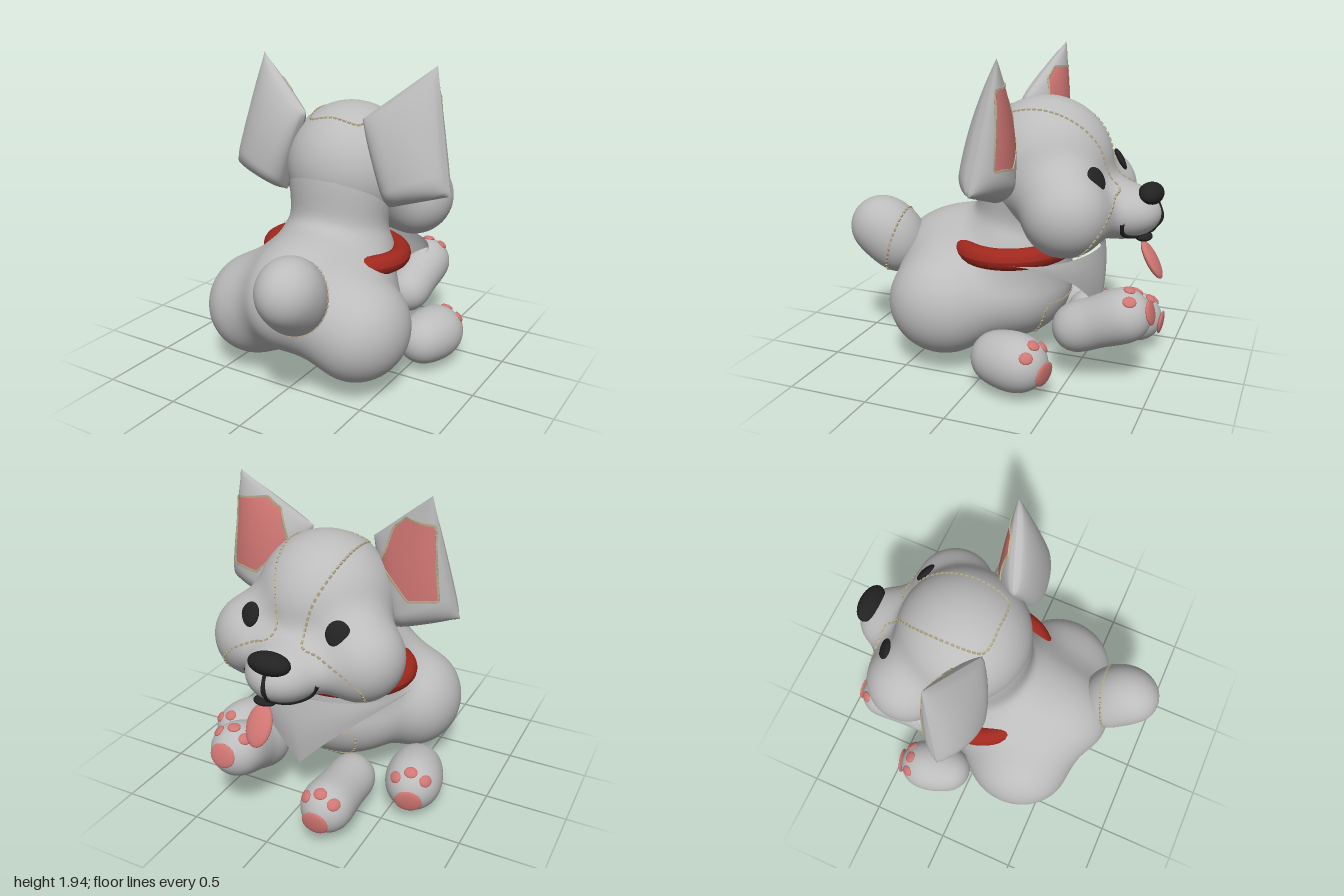
import * as THREE from 'three';
import { mergeVertices, mergeGeometries } from 'three/addons/utils/BufferGeometryUtils.js';

const V = (x, y, z) => new THREE.Vector3(x, y, z);
const material = (name, color) => Object.assign(new THREE.MeshStandardMaterial({ color }), { name });

// Smoothly blended ellipsoids [x, y, z, rx, ry, rz], seen as a radius around one inner centre
function makeBlob(center, lobes, k, detail) {
  const field = (p) => {
    let d = 10;
    for (const [x, y, z, rx, ry, rz] of lobes) {
      const e = (Math.hypot((p.x - x) / rx, (p.y - y) / ry, (p.z - z) / rz) - 1) * Math.min(rx, ry, rz);
      const h = Math.max(k - Math.abs(d - e), 0) / k;
      d = Math.min(d, e) - h * h * k / 4;
    }
    return d;
  };
  const project = (point) => {
    const dir = point.clone().sub(center).normalize();
    let lo = 0, hi = 1.2;
    for (let i = 0; i < 22; i++) {
      const t = (lo + hi) / 2;
      if (field(center.clone().addScaledVector(dir, t)) < 0) lo = t; else hi = t;
    }
    return center.clone().addScaledVector(dir, lo);
  };
  let geometry = new THREE.IcosahedronGeometry(1, detail);
  geometry.deleteAttribute('uv');
  geometry.deleteAttribute('normal');
  geometry = mergeVertices(geometry, 1e-4);
  const pos = geometry.attributes.position, v = V(0, 0, 0);
  for (let i = 0; i < pos.count; i++) {
    const q = project(v.fromBufferAttribute(pos, i).add(center));
    pos.setXYZ(i, q.x, q.y, q.z);
  }
  geometry.computeVertexNormals();
  return { geometry, project };
}

// Grid whose points follow rule(u, v); flip turns the faces round
function makeSheet(rule, nu, nv, flip) {
  const geo = new THREE.PlaneGeometry(1, 1, nu, nv);
  const pos = geo.attributes.position, uv = geo.attributes.uv;
  for (let i = 0; i < pos.count; i++) {
    const p = rule(uv.getX(i), 1 - uv.getY(i));
    pos.setXYZ(i, p.x, p.y, p.z);
  }
  if (flip) geo.index.array.reverse();
  geo.computeVertexNormals();
  return geo;
}

export function createModel() {
  const model = new THREE.Group();
  model.name = 'plushPuppy';
  const fur = material('greyFur', 0xbcbcbc);
  const pink = material('pinkFelt', 0xd07673);
  const red = material('redCollar', 0xa0281e);
  const black = material('blackTrim', 0x222222);
  const thread = material('beigeThread', 0xb4a98a);
  const cloth = material('greyCloth', 0xbcbcbc);
  cloth.side = THREE.DoubleSide;

  const add = (name, geo, mat, parent = model) => {
    const mesh = new THREE.Mesh(geo, mat);
    mesh.name = name;
    parent.add(mesh);
    return mesh;
  };
  const ball = (name, mat, at, radii, facing, parent) => {
    const mesh = add(name, new THREE.SphereGeometry(1, 24, 16), mat, parent);
    mesh.scale.set(...radii);
    mesh.position.copy(at);
    if (facing) mesh.lookAt(at.clone().add(facing));
  };

  // Stitching: short dashes laid on a surface
  const stitch = (name, project, points, closed = false) => {
    const curve = new THREE.CatmullRomCurve3(points, closed, 'catmullrom', 0.3);
    const count = Math.round(curve.getLength() / 0.034);
    const spots = curve.getSpacedPoints(count).map(project);
    const dashes = [], o = new THREE.Object3D();
    for (let i = 0; i < count; i++) {
      o.position.copy(spots[i]).lerp(spots[i + 1], 0.5);
      o.lookAt(spots[i + 1]);
      o.updateMatrix();
      dashes.push(new THREE.BoxGeometry(0.012, 0.012, 0.022).applyMatrix4(o.matrix));
    }
    add(name, mergeGeometries(dashes), thread);
  };

  // Body with haunches, chest, shoulders and a neck that flows into the skull
  const body = makeBlob(V(0, 0.58, 0.04), [
    [0, 0.56, 0.2, 0.39, 0.38, 0.55],
    [0.36, 0.41, 0.29, 0.315, 0.325, 0.345], [-0.36, 0.41, 0.29, 0.315, 0.325, 0.345],
    [0, 0.44, -0.06, 0.42, 0.31, 0.32],
    [0, 0.76, -0.08, 0.36, 0.2, 0.3],
    [0, 1.0, -0.07, 0.29, 0.28, 0.22],
    [0, 1.23, -0.2, 0.36, 0.36, 0.365],
  ], 0.14, 30);
  add('body', body.geometry, fur);

  // Head with skull, cheeks and muzzle
  const head = makeBlob(V(0, 1.14, -0.34), [
    [0, 1.25, -0.24, 0.41, 0.41, 0.41],
    [0.34, 1.04, -0.47, 0.255, 0.255, 0.255], [-0.34, 1.04, -0.47, 0.255, 0.255, 0.255],
    [0, 1.0, -0.7, 0.23, 0.17, 0.26],
  ], 0.14, 28);
  add('head', head.geometry, fur);

  // Tail
  const tail = makeBlob(V(0.19, 0.73, 0.73), [
    [0.21, 0.79, 0.79, 0.185, 0.2, 0.21],
    [0.17, 0.68, 0.69, 0.19, 0.19, 0.17],
  ], 0.1, 12);
  add('tail', tail.geometry, fur);

  // Seams
  const ring = [];
  for (let i = 0; i < 16; i++) {
    const a = i / 16 * Math.PI * 2;
    ring.push(V(0.18 + 0.2 * Math.cos(a), 0.71 + 0.2 * Math.sin(a), 0.69 - 0.06 * Math.sin(a) - 0.03 * Math.cos(a)));
  }
  stitch('tailSeam', tail.project, ring, true);
  stitch('bellySeam', body.project, [V(-0.22, 0.42, -0.33), V(0.22, 0.42, -0.33), V(0.14, 0.2, -0.22), V(-0.14, 0.2, -0.22)], true);
  for (const s of [1, -1]) {
    stitch('headSeam', head.project, [[0, 1.59, -0.01], [0.19, 1.59, -0.01], [0.2, 1.58, -0.35], [0.11, 1.36, -0.6],
      [0.1, 1.17, -0.72], [0.2, 1.13, -0.72], [0.32, 1.06, -0.7], [0.43, 0.95, -0.67], [0.42, 0.82, -0.57]]
      .map(([x, y, z]) => V(s * x, y, z)));
  }

  // Ears: plump pillows over a four-cornered outline, fullest near the head
  const inTop = V(0.2, 1.6, -0.02), tip = V(0.61, 1.93, -0.165), inLow = V(0.38, 1.07, -0.06), outLow = V(0.77, 1.2, -0.06);
  const across = (u) => u < 0.35 ? (1 - ((0.35 - u) / 0.35) ** 2.5) ** 0.4 : Math.sqrt(Math.max(0, 1 - ((u - 0.35) / 0.65) ** 2));
  const along = (v) => v < 0.8 ? Math.sqrt(Math.sin(v / 0.8 * Math.PI / 2)) : Math.sqrt(Math.max(0, 1 - ((v - 0.8) / 0.2) ** 2));
  // Pink panel corners in the ear's own (u, v)
  const panel = [[0.6, 0.03], [0.97, 0.22], [0.85, 0.78], [0.45, 0.7], [0.13, 0.28], [0.4, 0.04]];
  const inPanel = (u, v) => panel.every(([a, b], i) => {
    const [c, d] = panel[(i + 1) % panel.length];
    return (c - a) * (v - b) - (d - b) * (u - a) > 0;
  });
  const hem = panel.flatMap(([a, b], i) => {
    const [c, d] = panel[(i + 1) % panel.length];
    return [0, 1, 2].map((n) => V(a + (c - a) * n / 3, b + (d - b) * n / 3, 0));
  });
  for (const s of [1, -1]) {
    const ear = new THREE.Group();
    ear.name = s > 0 ? 'leftEar' : 'rightEar';
    model.add(ear);
    const rule = (depth) => (u, v) => {
      const p = inTop.clone().lerp(tip, u).lerp(inLow.clone().lerp(outLow, u), v);
      p.z += depth * across(u) * along(v);
      p.x *= s;
      return p;
    };
    add('earBack', makeSheet(rule(0.155), 40, 40, s < 0), fur, ear);
    const frontRule = rule(-0.15);
    const front = makeSheet(frontRule, 64, 64, s > 0);
    const sorted = [[], []], uv = front.attributes.uv, ix = front.index.array;
    for (let i = 0; i < ix.length; i += 3) {
      const t = [ix[i], ix[i + 1], ix[i + 2]];
      const mean = (f) => (f(t[0]) + f(t[1]) + f(t[2])) / 3;
      sorted[inPanel(mean((j) => uv.getX(j)), 1 - mean((j) => uv.getY(j))) ? 1 : 0].push(...t);
    }
    front.setIndex(sorted.flat());
    front.addGroup(0, sorted[0].length, 0);
    front.addGroup(sorted[0].length, sorted[1].length, 1);
    add('earFront', front, [fur, pink], ear);
    stitch('earSeam', (p) => frontRule(p.x, p.y), hem, true);

    // Eyes
    ball('eye', black, head.project(V(s * 0.335, 1.26, -0.69)), [0.07, 0.075, 0.024], V(s * 0.3, 0.45, -0.85));
  }

  // Nose, mouth and tongue
  ball('nose', black, V(0, 1.115, -0.89), [0.13, 0.065, 0.075]);
  const line = (name, points) => add(name, new THREE.TubeGeometry(
    new THREE.CatmullRomCurve3(points.map((p) => head.project(V(...p)))), 32, 0.014, 8), black);
  line('mouthCentre', [[0, 1.08, -0.95], [0, 0.98, -0.96], [0, 0.89, -0.92]]);
  for (const s of [1, -1]) {
    line('mouthSide', [[0, 0.89, -0.92], [s * 0.1, 0.86, -0.88], [s * 0.19, 0.89, -0.8], [s * 0.24, 0.98, -0.79]]);
  }
  ball('mouthOpening', black, V(0.05, 0.865, -0.87), [0.07, 0.025, 0.05]);
  ball('tongue', pink, V(0.06, 0.73, -0.925), [0.08, 0.125, 0.03], V(0, 0.5, -0.87));

  // Collar
  const collar = new THREE.TorusGeometry(1, 0.065, 16, 64);
  const cp = collar.attributes.position;
  for (let i = 0; i < cp.count; i++) {
    const x = cp.getX(i), y = cp.getY(i), r = Math.hypot(x, y), c = x / r, d = y / r;
    cp.setXYZ(i, c * (0.43 + r - 1), 0.745 + cp.getZ(i), -0.055 - d * (0.335 + r - 1));
  }
  collar.computeVertexNormals();
  add('collar', collar, red);

  // Neckerchief hanging to a point at the chest
  add('neckerchief', makeSheet((u, v) => {
    const a = u * 2 - 1, t = a * Math.PI / 2, drop = Math.pow(1 - Math.abs(a), 2.2);
    return V(0.55 * Math.sin(t), 0.76 - v * 0.46 * drop, -0.2 - 0.4 * Math.cos(t) - 0.02 * Math.sin(v * Math.PI) * drop);
  }, 48, 10, false), cloth);

  // Legs with a sole pad and three toe pads: heel to toe centre
  const leg = (name, a, b, r) => {
    const group = new THREE.Group();
    group.name = name;
    model.add(group);
    const mid = a.clone().lerp(b, 0.5);
    const lobes = [[a, r * 0.9], [mid, r * 0.9], [b, r * 0.98]].map(([p, q]) => [p.x, p.y, p.z, q, q, q]);
    const limb = makeBlob(mid, lobes, 0.09, 12);
    add('limb', limb.geometry, fur, group);
    const axis = b.clone().sub(a).normalize();
    const side = axis.clone().cross(V(0, 1, 0)).normalize(), up = side.clone().cross(axis);
    const pad = (label, f, u, w, size) => {
      const dir = axis.clone().multiplyScalar(f).addScaledVector(up, u).addScaledVector(side, w).normalize();
      ball(label, pink, limb.project(b.clone().addScaledVector(dir, r)), [size * 1.15, size, 0.016], dir, group);
    };
    pad('solePad', 0.97, -0.15, 0, 0.072);
    pad('toePad', 0.55, 0.8, 0, 0.035);
    for (const w of [0.6, -0.6]) pad('toePad', 0.65, 0.6, w, 0.035);
  };
  leg('leftHindLeg', V(0.58, 0.2, -0.14), V(0.62, 0.205, -0.31), 0.163);
  leg('rightHindLeg', V(-0.58, 0.165, -0.14), V(-0.62, 0.17, -0.31), 0.163);
  leg('leftFrontLeg', V(0.28, 0.33, -0.54), V(0.285, 0.45, -0.82), 0.165);
  leg('rightFrontLeg', V(-0.28, 0.2, -0.46), V(-0.285, 0.21, -0.78), 0.16);

  return model;
}
